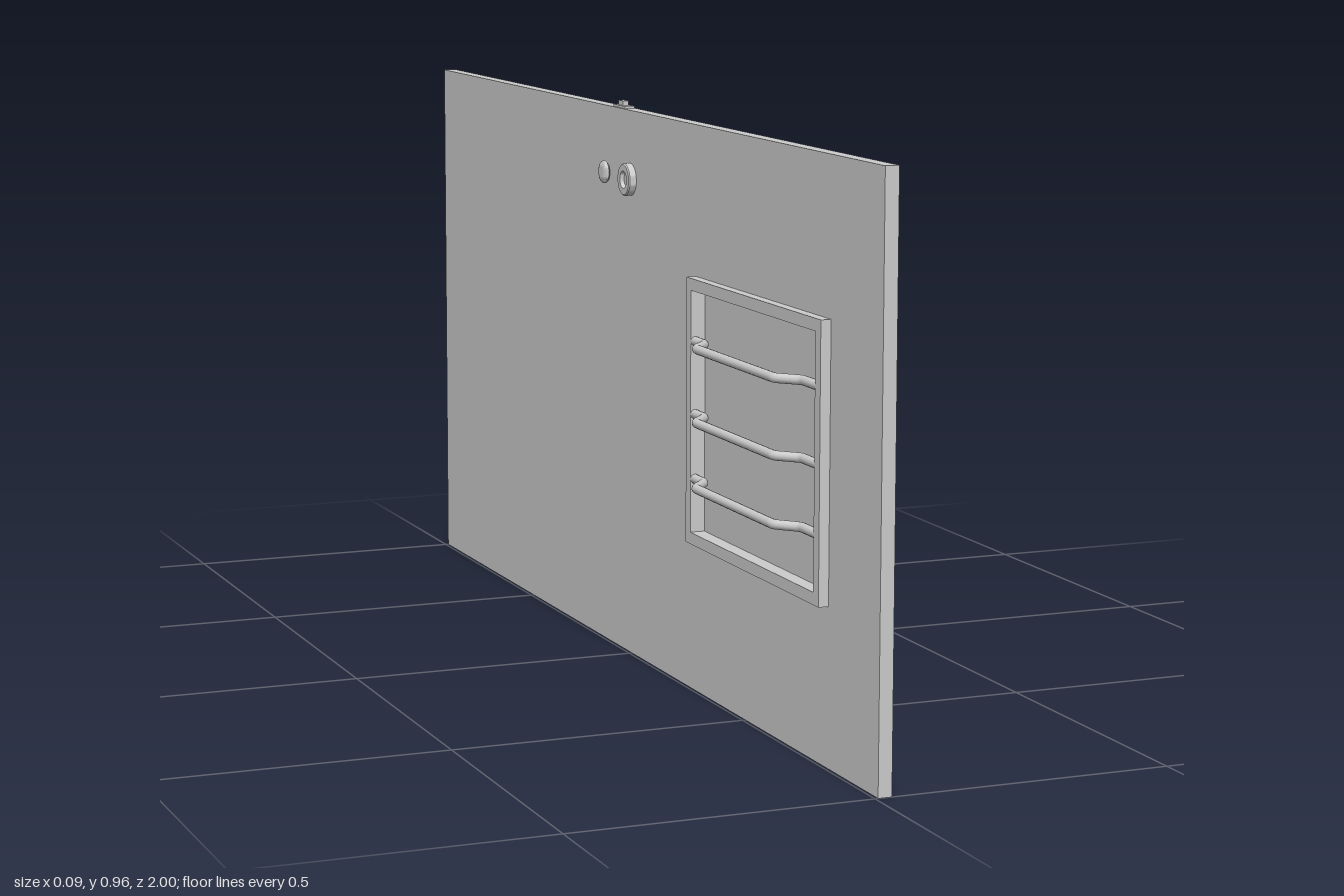
import * as THREE from 'three';
import { toCreasedNormals } from 'three/addons/utils/BufferGeometryUtils.js';

const mat = new THREE.MeshStandardMaterial({ color: 0xcccccc });
const X0 = 0.005, X1 = 0.028, MID = (X0 + X1) / 2; // door leaf faces
const WIN = [0.285, 0.256, 0.817, 0.702];          // window frame: z0, y0, z1, y1
const BORDER = 0.02;

export function createModel() {
  const group = new THREE.Group();
  const add = (name, geometry) => {
    const mesh = new THREE.Mesh(geometry, mat);
    mesh.name = name;
    group.add(mesh);
    return mesh;
  };
  // box given by its limits on each axis
  const box = (name, x0, x1, y0, y1, z0, z1) =>
    add(name, new THREE.BoxGeometry(x1 - x0, y1 - y0, z1 - z0))
      .position.set((x0 + x1) / 2, (y0 + y1) / 2, (z0 + z1) / 2);
  const rect = (path, z0, y0, z1, y1) =>
    path.moveTo(z0, y0).lineTo(z1, y0).lineTo(z1, y1).lineTo(z0, y1).closePath();
  // rectangle with a rectangular hole, extruded across the thickness
  const holedSlab = (name, outer, hole, x0, x1) => {
    const shape = rect(new THREE.Shape(), ...outer);
    shape.holes.push(rect(new THREE.Path(), ...hole));
    const g = new THREE.ExtrudeGeometry(shape, { depth: x1 - x0, bevelEnabled: false });
    add(name, g.rotateY(-Math.PI / 2).translate(x1, 0, 0));
  };
  // turned part standing out of either face (side = 1 or -1)
  const turned = (name, points, y, z, side) => {
    const g = new THREE.LatheGeometry(points.map(p => new THREE.Vector2(...p)), 32);
    const mesh = add(name, toCreasedNormals(g, 0.7));
    mesh.rotation.z = -side * Math.PI / 2;
    mesh.position.set(MID, y, z);
  };

  // door leaf, window frame and pane
  const [z0, y0, z1, y1] = WIN;
  const opening = [z0 + BORDER, y0 + BORDER, z1 - BORDER, y1 - BORDER];
  holedSlab('doorPanel', [-1, 0, 1, 0.953], opening, X0, X1);
  holedSlab('windowFrame', WIN, opening, -0.012, 0.041);
  box('windowPane', MID - 0.003, MID + 0.003, opening[1], opening[3], opening[0], opening[2]);

  // bent guard bars on the inner side of the window
  for (const y of [0.366, 0.475, 0.597]) {
    const pts = [[-0.004, 0.3], [-0.004, 0.345], [-0.036, 0.385], [-0.036, 0.7], [-0.004, 0.735], [-0.004, 0.803]]
      .map(([x, z]) => new THREE.Vector3(x, y, z));
    const path = new THREE.CurvePath();
    let from = pts[0];
    for (let i = 1; i < pts.length - 1; i++) {
      const a = pts[i].clone().lerp(pts[i - 1], 0.008 / pts[i].distanceTo(pts[i - 1]));
      const b = pts[i].clone().lerp(pts[i + 1], 0.008 / pts[i].distanceTo(pts[i + 1]));
      path.add(new THREE.LineCurve3(from, a));
      path.add(new THREE.QuadraticBezierCurve3(a, pts[i], b));
      from = b;
    }
    path.add(new THREE.LineCurve3(from, pts[5]));
    add('guardBar', new THREE.TubeGeometry(path, 120, 0.008, 14));
  }

  // lock collars and small rounded thumb knobs on both faces
  for (const side of [1, -1]) {
    turned('lockCollar', [[0.028, 0], [0.028, 0.023], [0.026, 0.025], [0.015, 0.025],
      [0.013, 0.018], [0, 0.018]], 0.834, -0.008, side);
    turned('thumbKnob', [[0.009, 0], [0.009, 0.013], [0.017, 0.014], [0.02, 0.017], [0.02, 0.019],
      [0.018, 0.022], [0.013, 0.024], [0.008, 0.0245], [0, 0.0245]], 0.837, -0.115, side);
  }

  // latch on the top edge
  box('latchPlate', 0.008, 0.025, 0.95, 0.957, -0.095, -0.04);
  box('latchPin', 0.011, 0.021, 0.95, 0.965, -0.08, -0.057);

  // hinge plates along the lower edge
  for (const z of [0.553, -0.628]) box('hingePlate', X1 - 0.002, 0.035, 0.012, 0.048, z - 0.052, z + 0.052);

  return group;
}
